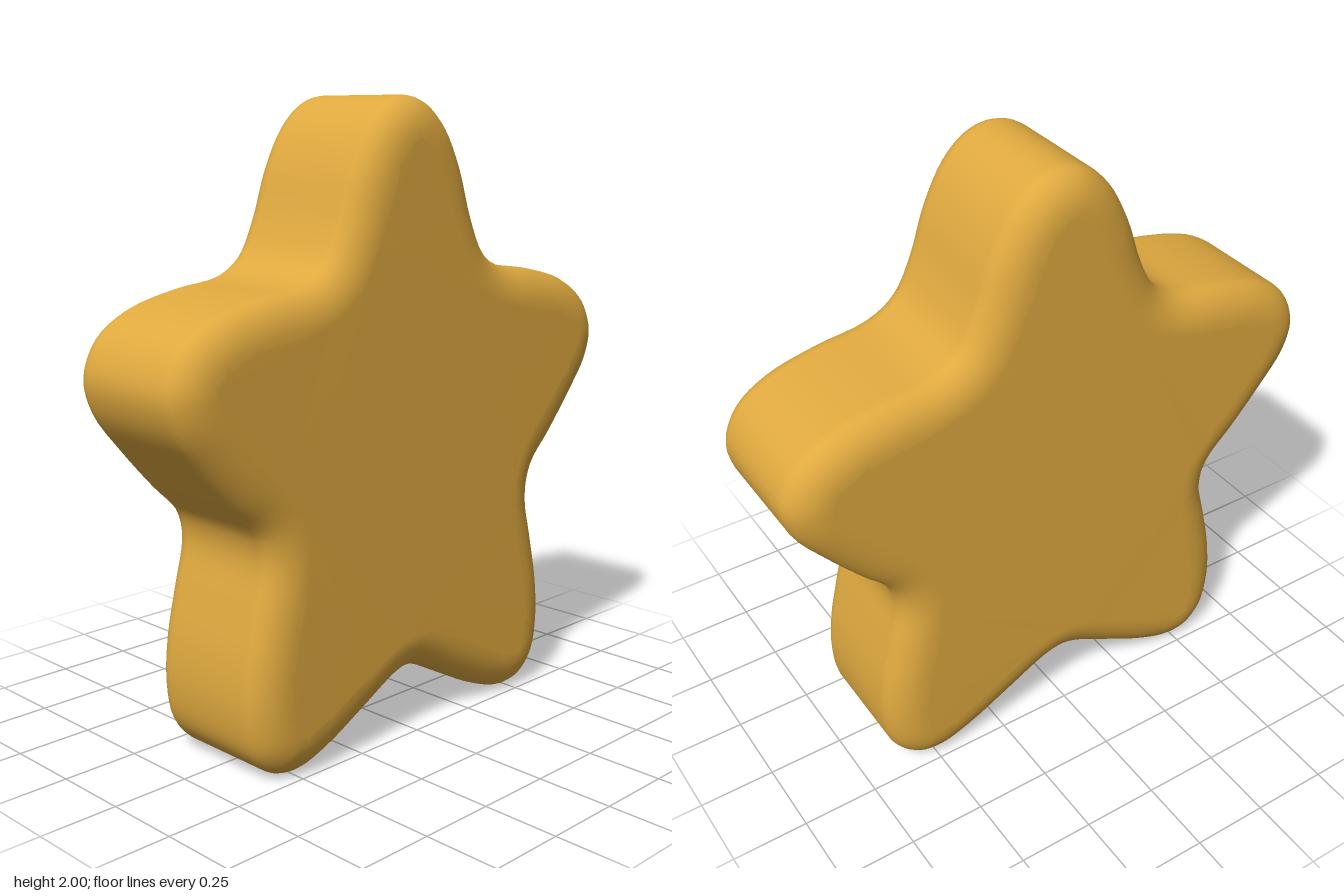
import * as THREE from 'three';

// Right half of the star outline, from the top tip down to the bottom notch
const HALF = [
  [0, 2], [0.08, 1.98], [0.16, 1.91], [0.23, 1.785], [0.285, 1.63], [0.345, 1.52],
  [0.43, 1.467], [0.6, 1.44], [0.77, 1.395], [0.88, 1.32], [0.927, 1.21], [0.9, 1.1],
  [0.81, 0.98], [0.7, 0.855], [0.61, 0.76], [0.59, 0.67], [0.62, 0.53], [0.655, 0.37],
  [0.665, 0.22], [0.64, 0.095], [0.57, 0.018], [0.48, 0], [0.36, 0.035], [0.2, 0.115],
  [0.06, 0.187], [0, 0.2],
];
const HALF_DEPTH = 0.255, BEVEL_DEPTH = 0.09, BEVEL_INSET = 0.125, BEVEL_STEPS = 8;

// Closed smooth outline, counterclockwise, with outward directions
function starOutline() {
  const left = HALF.map(([x, y]) => new THREE.Vector3(-x, y, 0));
  const right = HALF.slice(1, -1).reverse().map(([x, y]) => new THREE.Vector3(x, y, 0));
  const control = [...left, ...right];
  const points = new THREE.CatmullRomCurve3(control, true).getPoints(control.length * 4).slice(0, -1);
  const n = points.length;
  const normals = points.map((_, i) => {
    const t = points[(i + 2) % n].clone().sub(points[(i + n - 2) % n]).normalize();
    return new THREE.Vector2(t.y, -t.x);
  });
  return { points, normals };
}

function starGeometry() {
  const { points, normals } = starOutline();
  const n = points.length;

  // Rounded rim profile from back to front: [inset, z]
  const front = [];
  for (let s = 0; s <= BEVEL_STEPS; s++) {
    const a = (s / BEVEL_STEPS) * Math.PI / 2;
    front.push([BEVEL_INSET * (1 - Math.cos(a)), HALF_DEPTH - BEVEL_DEPTH * (1 - Math.sin(a))]);
  }
  const profile = [...front.map(([d, z]) => [d, -z]).reverse(), ...front];

  const positions = [], index = [];
  profile.forEach(([inset, z]) => points.forEach((p, i) =>
    positions.push(p.x - normals[i].x * inset, p.y - normals[i].y * inset, z)));

  // Walls between neighbouring rings
  for (let k = 0; k < profile.length - 1; k++) {
    for (let i = 0; i < n; i++) {
      const j = (i + 1) % n;
      const a = k * n + i, b = k * n + j, c = b + n, d = a + n;
      index.push(a, b, c, a, c, d);
    }
  }

  // Flat front and back faces
  const contour = points.map((p, i) => new THREE.Vector2(
    p.x - normals[i].x * BEVEL_INSET, p.y - normals[i].y * BEVEL_INSET));
  const last = (profile.length - 1) * n;
  for (const [a, b, c] of THREE.ShapeUtils.triangulateShape(contour, [])) {
    index.push(last + a, last + b, last + c, c, b, a);
  }

  const geometry = new THREE.BufferGeometry();
  geometry.setAttribute('position', new THREE.Float32BufferAttribute(positions, 3));
  geometry.setIndex(index);
  geometry.computeVertexNormals();
  return geometry;
}

export function createModel() {
  const group = new THREE.Group();
  group.name = 'roundedStar';
  const gold = new THREE.MeshStandardMaterial({ color: 0xdfa93f });
  gold.name = 'gold';
  const star = new THREE.Mesh(starGeometry(), gold);
  star.name = 'starBody';
  group.add(star);
  return group;
}
